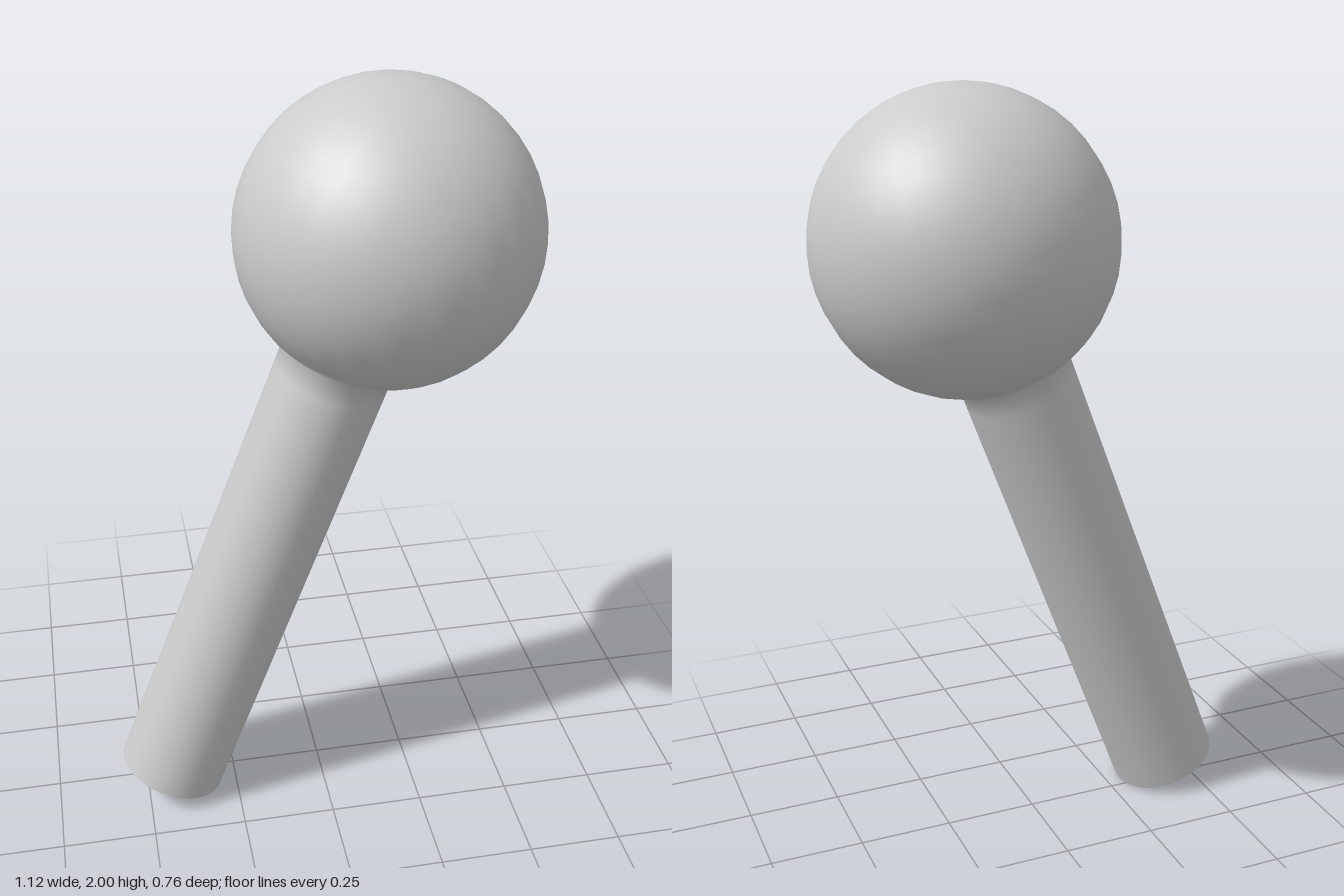
import * as THREE from 'three';

export function createModel() {
  const model = new THREE.Group();
  model.name = 'ballTopStick';
  const material = new THREE.MeshStandardMaterial({ color: 0xcccccc });

  const foot = new THREE.Vector3(-0.428, 0.055, 0.034); // centre of the shaft's base
  const ball = new THREE.Vector3(0.178, 1.618, -0.003); // centre of the ball
  const shaftRadius = 0.147, ballRadius = 0.382, sides = 32;
  const axis = ball.clone().sub(foot);
  const length = axis.length();

  // One profile from the base up the shaft and round the ball, smooth at the joint
  const start = Math.asin(shaftRadius / ballRadius);
  const joint = length - ballRadius * Math.cos(start);
  const profile = [
    new THREE.Vector2(shaftRadius, 0),
    new THREE.Vector2(shaftRadius, joint - 0.06),
  ];
  const rings = 20;
  for (let i = 0; i <= rings; i++) {
    const a = start + (Math.PI - start) * (i / rings);
    profile.push(new THREE.Vector2(
      i === rings ? 0 : ballRadius * Math.sin(a),
      length - ballRadius * Math.cos(a)
    ));
  }

  const body = new THREE.Mesh(new THREE.LatheGeometry(profile, sides), material);
  body.name = 'shaftAndBall';

  // Flat base closing the shaft
  const base = new THREE.Mesh(new THREE.CircleGeometry(shaftRadius, sides), material);
  base.name = 'shaftBase';
  base.rotation.x = Math.PI / 2;

  // Lean the whole stick along its axis
  const stick = new THREE.Group();
  stick.name = 'leaningStick';
  stick.add(body, base);
  stick.position.copy(foot);
  stick.quaternion.setFromUnitVectors(new THREE.Vector3(0, 1, 0), axis.normalize());
  model.add(stick);
  return model;
}
